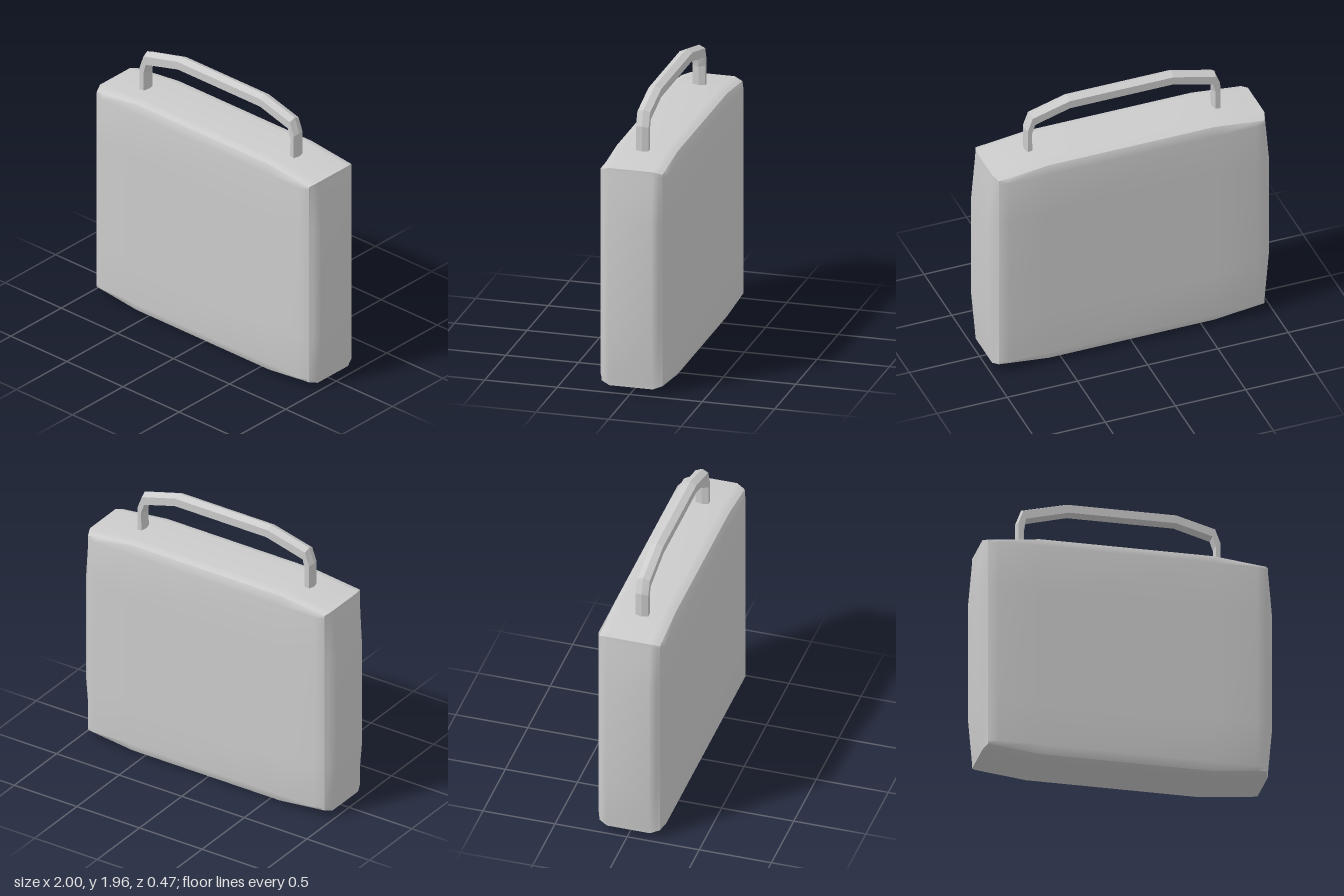
import * as THREE from 'three';

const grey = () => new THREE.MeshStandardMaterial({ color: 0xcccccc });

// 1 in the middle of a span, falling straight to 0 between `flat` and `end`
const fade = (v, flat, end) => THREE.MathUtils.clamp((end - Math.abs(v)) / (end - flat), 0, 1);

// Case: a segmented box whose six faces bulge outward, sharp along its edges
function createCase() {
  const hx = 0.945, hy = 0.745, hz = 0.21, midY = 0.805;
  const columns = [-hx, -0.88, -0.59, 0.59, 0.88, hx];
  const rows = [-hy, -0.725, -0.4, 0.4, 0.725, hy];
  const depths = [-hz, -0.19, -0.15, 0.15, 0.19, hz];
  const geo = new THREE.BoxGeometry(5, 5, 5, 5, 5, 5);
  const pos = geo.attributes.position;
  const pick = (list, v) => list[Math.round(v + 2.5)];
  for (let i = 0; i < pos.count; i++) {
    const x = pick(columns, pos.getX(i));
    const y = pick(rows, pos.getY(i));
    const z = pick(depths, pos.getZ(i));
    const bz = fade(z, 0.15, hz);
    const swellX = bz * (0.025 + 0.03 * fade(y, 0.4, hy));
    const swellY = 0.04 * fade(x, 0.59, hx) + 0.02 * bz;
    const swellZ = 0.025 * fade(x, 0.88, hx) * fade(y, 0.725, hy);
    pos.setXYZ(i,
      Math.abs(x) === hx ? x + Math.sign(x) * swellX : x,
      midY + (Math.abs(y) === hy ? y + Math.sign(y) * swellY : y),
      Math.abs(z) === hz ? z + Math.sign(z) * swellZ : z);
  }
  geo.computeVertexNormals();
  const mesh = new THREE.Mesh(geo, grey());
  mesh.name = 'caseBody';
  return mesh;
}

// Handle: a six-sided bar swept through pairs of outer and inner points
function createHandle() {
  const path = [ // outer x, outer y, inner x, inner y
    [-0.715, 1.57, -0.655, 1.57],
    [-0.715, 1.775, -0.655, 1.73],
    [-0.675, 1.88, -0.645, 1.785],
    [-0.37, 1.955, -0.36, 1.86],
    [0.37, 1.955, 0.37, 1.86],
    [0.64, 1.88, 0.61, 1.79],
    [0.68, 1.775, 0.63, 1.73],
    [0.68, 1.57, 0.625, 1.57],
  ];
  const section = [[0, 0], [0.2, 1], [0.8, 1], [1, 0], [0.8, -1], [0.2, -1]];
  const points = [], index = [];
  path.forEach(([ox, oy, ix, iy], i) => {
    section.forEach(([t, side], j) => {
      points.push(ox + (ix - ox) * t, oy + (iy - oy) * t, 0.01 + 0.044 * side);
      if (i < path.length - 1) {
        const a = i * 6 + j, b = i * 6 + (j + 1) % 6;
        index.push(a, b, b + 6, a, b + 6, a + 6);
      }
    });
  });
  // End caps inside the case
  const last = (path.length - 1) * 6;
  for (let j = 1; j < 5; j++) index.push(0, j + 1, j, last, last + j, last + j + 1);
  const indexed = new THREE.BufferGeometry();
  indexed.setAttribute('position', new THREE.Float32BufferAttribute(points, 3));
  indexed.setIndex(index);
  const geo = indexed.toNonIndexed();
  geo.computeVertexNormals();
  const material = grey();
  material.flatShading = true;
  const mesh = new THREE.Mesh(geo, material);
  mesh.name = 'handle';
  return mesh;
}

export function createModel() {
  const group = new THREE.Group();
  group.name = 'briefcase';
  group.add(createCase(), createHandle());
  return group;
}
